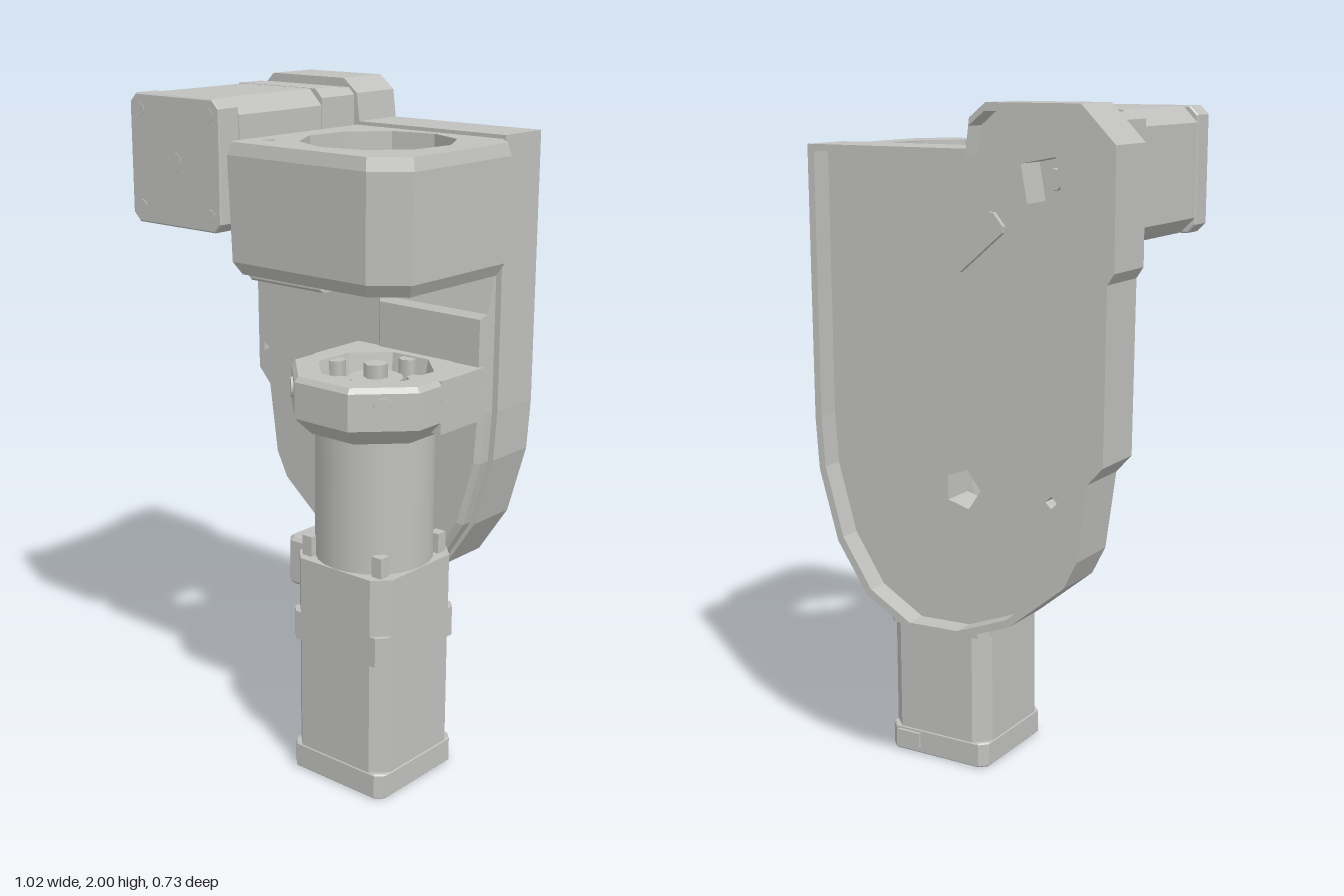
import * as THREE from 'three';
import { toCreasedNormals } from 'three/addons/utils/BufferGeometryUtils.js';

const grey = new THREE.MeshStandardMaterial({ color: 0xc0c0be });
grey.name = 'castGrey';

const add = (parent, name, geo, x = 0, y = 0, z = 0) => {
  const m = new THREE.Mesh(geo, grey);
  m.name = name;
  m.position.set(x, y, z);
  parent.add(m);
  return m;
};
const v2 = pts => pts.map(p => new THREE.Vector2(p[0], p[1]));

// regular polygon outline
const ring = (cx, cy, r, n, turn = 0) => Array.from({ length: n }, (_, i) => {
  const a = turn + i / n * Math.PI * 2;
  return [cx + r * Math.cos(a), cy + r * Math.sin(a)];
});

// square outline with cut corners
const cut = (hx, hy, c) => [[hx - c, -hy], [hx, -hy + c], [hx, hy - c], [hx - c, hy],
  [-hx + c, hy], [-hx, hy - c], [-hx, -hy + c], [-hx + c, -hy]];

// outline extruded from z0 to z1, chamfered inward by b
function slab(pts, z0, z1, b = 0, holes = []) {
  const s = new THREE.Shape(v2(pts));
  holes.forEach(h => s.holes.push(new THREE.Path(v2(h))));
  const g = new THREE.ExtrudeGeometry(s, {
    depth: z1 - z0 - 2 * b, bevelEnabled: b > 0, bevelSize: b, bevelThickness: b,
    bevelOffset: -b, bevelSegments: 1
  });
  return g.translate(0, 0, z0 + b);
}
// same, standing upright: outline given as (x, -z), extruded along y
const upright = (...args) => slab(...args).rotateX(-Math.PI / 2);

// move every vertex by a rule, then refresh the flat normals
function reshape(geo, rule) {
  const p = geo.attributes.position, v = new THREE.Vector3();
  for (let i = 0; i < p.count; i++) {
    rule(v.fromBufferAttribute(p, i));
    p.setXYZ(i, v.x, v.y, v.z);
  }
  geo.computeVertexNormals();
  return geo;
}

// stepper motor along +z from 0 to len, far end is the outer cap
function motor(name, hx, hy, len) {
  const g = new THREE.Group();
  g.name = name;
  add(g, 'innerCap', slab(cut(hx, hy, 0.025), 0, 0.09));
  add(g, 'motorBody', slab(cut(hx - 0.001, hy - 0.001, 0.045), 0.09, len - 0.08));
  add(g, 'outerCap', slab(cut(hx, hy, 0.025), len - 0.08, len - 0.002, 0.004));
  const screw = new THREE.CylinderGeometry(0.02, 0.02, 0.01, 6).rotateX(Math.PI / 2);
  for (const sx of [-1, 1]) for (const sy of [-1, 1])
    add(g, 'capScrew', screw, sx * (hx - 0.04), sy * (hy - 0.045), len - 0.005);
  add(g, 'shaftEnd', new THREE.CylinderGeometry(0.03, 0.03, 0.01, 6).rotateX(Math.PI / 2), 0, 0, len - 0.005);
  return g;
}

export function createModel() {
  const root = new THREE.Group();
  root.name = 'motorizedBracket';

  // back housing: thick front panel plus a shallow rim facing the back
  const outline = [[-0.51, 1.9], [-0.51, 1.58], [-0.49, 1.55], [-0.485, 1.07], [-0.44, 1.02],
    [-0.41, 0.8], [-0.37, 0.72], [-0.2, 0.58], [-0.03, 0.515], [0.14, 0.51], [0.28, 0.59],
    [0.38, 0.74], [0.44, 0.95], [0.45, 1.1], [0.45, 1.88], [-0.07, 1.88], [-0.08, 1.96],
    [-0.13, 2], [-0.41, 2]];
  const inner = outline.map(([x, y]) => [-0.03 + (x + 0.03) * 0.955, 1.25 + (y - 1.25) * 0.97]);
  add(root, 'housingPanel', slab(outline, -0.3, -0.197, 0, [
    ring(-0.01, 0.935, 0.06, 5, 0.6), ring(-0.295, 0.935, 0.018, 4),
    ring(-0.26, 1.8, 0.075, 4, 0.6), ring(-0.455, 1.14, 0.016, 3)]));
  add(root, 'housingRim', slab(outline, -0.365, -0.3, 0, [inner]));
  // slanted boss inside the housing
  const boss = add(root, 'innerBoss', slab(cut(0.1, 0.035, 0.012), -0.315, -0.29), -0.06, 1.63, 0);
  boss.rotation.z = -0.7;
  // raised pad that carries the lower drive, sloping back at its top
  const pad = slab([[0.05, 1.52], [0.05, 0.52], [0.15, 0.52], [0.28, 0.6], [0.375, 0.75],
    [0.43, 0.95], [0.44, 1.1], [0.44, 1.52]], -0.2, -0.135, 0.015);
  add(root, 'frontPad', reshape(pad, v => { if (v.z > -0.17 && v.y > 1.4) v.y -= 0.13; }));

  // upper ring block with a large bore, in three layers: tapered foot, body, top edge
  const block = [[-0.085, 0.2], [-0.085, -0.33], [-0.075, -0.345], [0.41, -0.345],
    [0.505, -0.27], [0.51, 0.14], [0.45, 0.2]];
  const bores = [ring(0.207, -0.05, 0.215, 10, 0.2), ring(-0.015, -0.245, 0.018, 6)];
  for (const [name, y0, y1, s0, s1] of [['blockFoot', 1.51, 1.545, 0.91, 0.975],
    ['blockBody', 1.545, 1.835, 0.975, 1], ['blockTop', 1.835, 1.87, 1, 0.97]]) {
    add(root, name, reshape(upright(block, y0, y1, 0, bores), v => {
      if (Math.hypot(v.x - 0.207, v.z - 0.05) < 0.32) return;
      const s = v.y < (y0 + y1) / 2 ? s0 : s1;
      v.x = 0.207 + (v.x - 0.207) * s;
      v.z = 0.05 + (v.z - 0.05) * s;
    }));
  }

  // upper motor with flange and mounting bracket
  const upper = motor('upperMotor', 0.175, 0.18, 0.505);
  upper.position.set(-0.265, 1.8, -0.145);
  root.add(upper);
  add(root, 'motorFlange', slab(cut(0.175, 0.175, 0.02), -0.2, -0.145), -0.265, 1.8, 0);
  add(root, 'mountBracket', slab([[-0.41, 1.42], [-0.38, 1.39], [-0.085, 1.39], [-0.085, 1.63],
    [-0.41, 1.63]], -0.2, -0.05, 0.008));
  for (const [x, y] of [[-0.35, 1.59], [-0.2, 1.59], [-0.35, 1.45]])
    add(root, 'bracketScrew', new THREE.CylinderGeometry(0.022, 0.022, 0.01, 6).rotateX(Math.PI / 2), x, y, -0.05);
  add(root, 'motorShaft', new THREE.CylinderGeometry(0.03, 0.03, 0.1, 10).rotateX(Math.PI / 2), -0.265, 1.8, -0.2);

  // lower drive, all on one vertical axis
  const drive = new THREE.Group();
  drive.name = 'lowerDrive';
  drive.position.set(0.203, 0, 0.05);
  root.add(drive);
  const lower = motor('lowerMotor', 0.175, 0.175, 0.51);
  lower.rotation.x = Math.PI / 2;
  lower.position.y = 0.51;
  drive.add(lower);
  add(drive, 'motorSocket', new THREE.BoxGeometry(0.08, 0.05, 0.03), 0.1, 0.045, -0.17);

  // gearbox: cut square base, round barrel, corner ribs
  add(drive, 'gearboxBase', upright(cut(0.175, 0.175, 0.045), 0.51, 0.68));
  add(drive, 'gearboxBarrel', new THREE.CylinderGeometry(0.172, 0.172, 0.42, 24), 0, 0.88, 0);
  for (const sx of [-1, 1]) for (const sz of [-1, 1])
    add(drive, 'cornerRib', new THREE.BoxGeometry(0.035, 0.2, 0.035), sx * 0.13, 0.64, sz * 0.13);
  add(drive, 'cableBox', upright(cut(0.07, 0.07, 0.02), 0.525, 0.675, 0.01), -0.225, 0, -0.01);

  // clamp head: eight-sided cup with a tapered underside
  const cup = new THREE.LatheGeometry(v2([[0.15, 1.07], [0.2, 1.07], [0.252, 1.12], [0.252, 1.225],
    [0.24, 1.24], [0.17, 1.24], [0.155, 1.15], [0, 1.15]]), 8, Math.PI / 8);
  add(drive, 'clampHead', toCreasedNormals(cup, 0.3));
  // arm from the cup back to the pad, leaving the cup open
  const arm = [[0.233, 0], [0.233, 0.2], [-0.233, 0.2], [-0.233, 0],
    ...ring(0, 0, 0.185, 8).slice(0, 5).reverse()];
  add(drive, 'clampArm', upright(arm, 1.085, 1.238));
  // output hub and bolts in the cup
  add(drive, 'outputHub', new THREE.CylinderGeometry(0.08, 0.08, 0.06, 12), 0, 1.18, 0);
  add(drive, 'outputShaft', new THREE.CylinderGeometry(0.035, 0.035, 0.1, 6), 0, 1.2, 0);
  for (let i = 0; i < 4; i++) {
    const a = i * Math.PI / 2;
    add(drive, 'headBolt', new THREE.CylinderGeometry(0.028, 0.028, 0.07, 6),
      0.146 * Math.cos(a), 1.2, 0.146 * Math.sin(a));
    // spokes between the bolts
    const s = add(drive, 'spoke', new THREE.BoxGeometry(0.08, 0.03, 0.05),
      0.11 * Math.cos(a + Math.PI / 4), 1.165, 0.11 * Math.sin(a + Math.PI / 4));
    s.rotation.y = -a - Math.PI / 4;
  }
  // clamping screws on the two front corner faces
  for (const sx of [-1, 1]) {
    const screw = add(drive, 'clampScrew', new THREE.CylinderGeometry(0.03, 0.03, 0.012, 8).rotateX(Math.PI / 2),
      sx * 0.165, 1.185, 0.165);
    screw.rotation.y = sx * Math.PI / 4;
  }
  return root;
}
